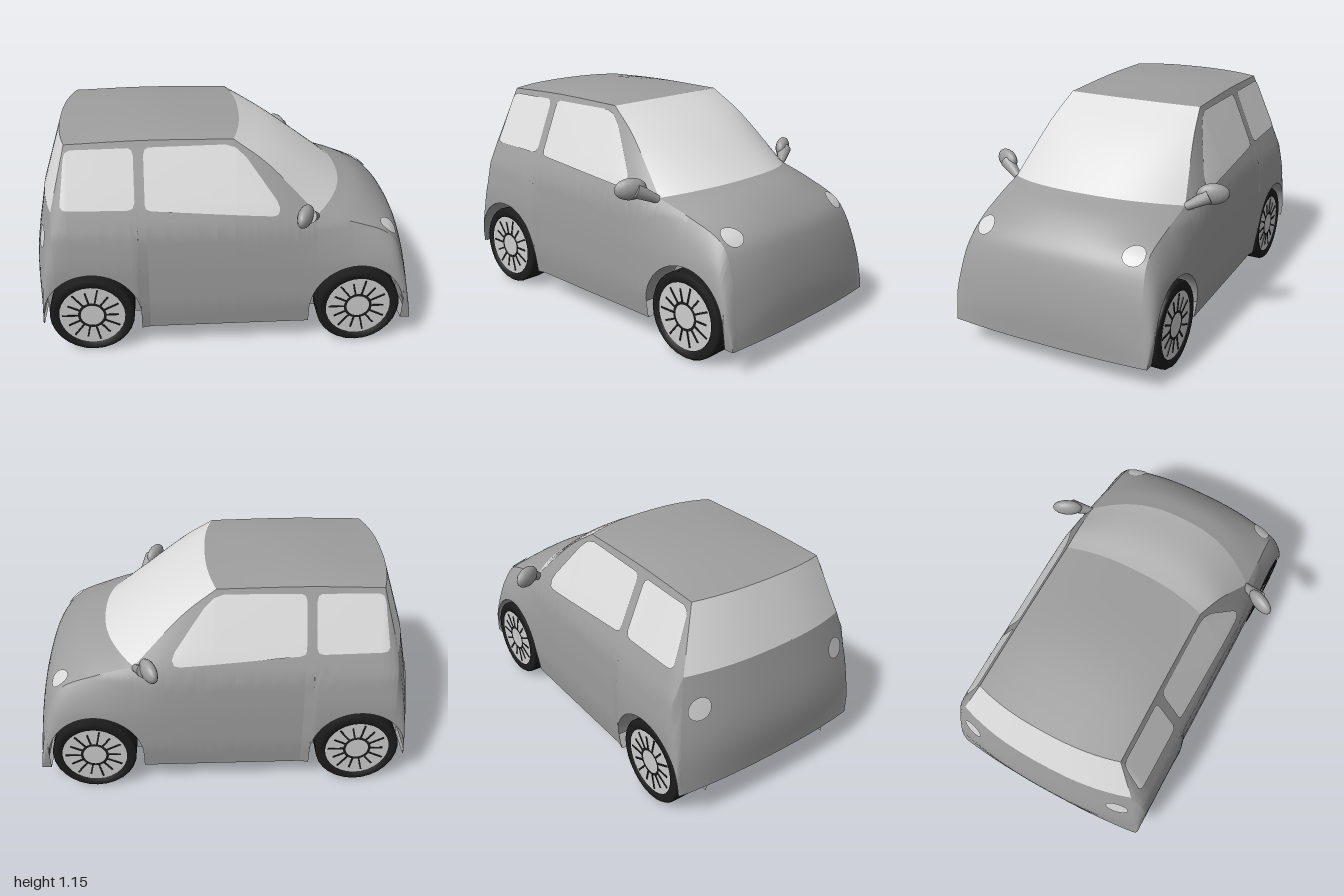
import * as THREE from 'three';

const mat = (name, color, side = THREE.FrontSide) => {
  const m = new THREE.MeshStandardMaterial({ color, side });
  m.name = name;
  return m;
};

// Piecewise linear lookup in a list of [x, y]
function table(pts, x) {
  if (x <= pts[0][0]) return pts[0][1];
  for (let i = 1; i < pts.length; i++) {
    const [x0, y0] = pts[i - 1], [x1, y1] = pts[i];
    if (x <= x1) return y0 + (y1 - y0) * (x - x0) / (x1 - x0 || 1);
  }
  return pts[pts.length - 1][1];
}

// Smooth surface from a grid of points fn(i, j)
function grid(nu, nv, fn, flip = false) {
  const pos = [], idx = [];
  for (let i = 0; i <= nu; i++) for (let j = 0; j <= nv; j++) pos.push(...fn(i, j));
  for (let i = 0; i < nu; i++) for (let j = 0; j < nv; j++) {
    const a = i * (nv + 1) + j, b = a + 1, c = a + nv + 1, d = c + 1;
    if (flip) idx.push(a, c, b, b, c, d);
    else idx.push(a, b, c, b, d, c);
  }
  const g = new THREE.BufferGeometry();
  g.setAttribute('position', new THREE.Float32BufferAttribute(pos, 3));
  g.setIndex(idx);
  g.computeVertexNormals();
  return g;
}

// Panels over the car, rear to front: corner edge [x, y, z] and centre line [x, y]
const PANELS = {
  tailgate: { n: 10, edge: [[-0.955, 0.19, 0.54], [-0.93, 0.46, 0.54], [-0.87, 0.8, 0.485]],
    mid: [[-0.985, 0.19], [-1, 0.46], [-0.94, 0.81]] },
  rearGlass: { n: 6, edge: [[-0.87, 0.8, 0.485], [-0.79, 1.115, 0.385]],
    mid: [[-0.94, 0.81], [-0.84, 1.125]] },
  roof: { n: 10, edge: [[-0.79, 1.115, 0.385], [-0.4, 1.127, 0.382], [0.04, 1.122, 0.38]],
    mid: [[-0.84, 1.125], [-0.38, 1.156], [0.09, 1.134]] },
  windshield: { n: 10, edge: [[0.04, 1.122, 0.38], [0.22, 0.99, 0.42], [0.46, 0.745, 0.487]],
    mid: [[0.09, 1.134], [0.34, 0.99], [0.63, 0.785]] },
  hoodAndNose: { n: 25,
    edge: [[0.46, 0.745, 0.487], [0.65, 0.69, 0.48], [0.84, 0.61, 0.472], [0.92, 0.46, 0.485], [0.965, 0.25, 0.5], [0.98, 0.13, 0.507]],
    mid: [[0.63, 0.785], [0.77, 0.735], [0.9, 0.63], [0.955, 0.52], [0.995, 0.32], [1, 0.13]] },
};
const edgeY = [], edgeZ = [];
for (const p of Object.values(PANELS)) {
  const e = new THREE.CatmullRomCurve3(p.edge.map(v => new THREE.Vector3(...v)), false, 'catmullrom');
  const c = new THREE.CatmullRomCurve3(p.mid.map(v => new THREE.Vector3(v[0], v[1], 0)), false, 'catmullrom');
  p.at = (u, s) => {
    const a = e.getPoint(u), b = c.getPoint(u), w = 1 - Math.abs(s) ** 2.4;
    return new THREE.Vector3(a.x + (b.x - a.x) * w, a.y + (b.y - a.y) * w, a.z * s);
  };
  for (let i = 0; i <= p.n; i++) {
    const a = e.getPoint(i / p.n);
    edgeY.push([a.x, a.y]);
    edgeZ.push([a.x, a.z]);
  }
}

// Body side: half width at any point, with a rear fender bulge
const BASE = [[0.13, 0.535], [0.27, 0.557], [0.5, 0.56], [0.69, 0.553], [0.8, 0.515], [1.12, 0.383]];
const base = (x, y) => table(BASE, y)
  + 0.016 * (1 - THREE.MathUtils.smoothstep(x, -0.47, -0.4)) * (1 - THREE.MathUtils.smoothstep(y, 0.5, 0.75));
function halfWidth(x, y) {
  const top = table(edgeY, x);
  const t = top - 0.13 < 0.002 ? 1 : Math.min(1, (y - 0.13) / (top - 0.13));
  return base(x, y) + (table(edgeZ, x) - base(x, top)) * t ** 4;
}

// Wheel arches
const ARCHES = [{ x: -0.695, y: 0.23, r: 0.25 }, { x: 0.68, y: 0.22, r: 0.248 }];
function sill(x) {
  for (const a of ARCHES) {
    const d = Math.abs(x - a.x);
    if (d <= a.r + 1e-6) return a.y + Math.sqrt(Math.max(0, a.r * a.r - d * d));
  }
  return x < -0.9 ? 0.19 : 0.13;
}
const columns = edgeY.map(p => p[0]);
for (const a of ARCHES) {
  columns.push(a.x - a.r - 2e-4, a.x + a.r + 2e-4);
  for (let k = 0; k <= 24; k++) columns.push(a.x + a.r * Math.cos(k * Math.PI / 24));
}
for (let x = -0.4; x < 0.4; x += 0.05) columns.push(x);
columns.sort((a, b) => a - b);

// Skin that follows the body side between two height lines
function sideSkin(xs, low, high, rows, offset, sign) {
  return grid(xs.length - 1, rows, (i, j) => {
    const x = xs[i], h = high(x), l = Math.min(low(x), h);
    const y = l + (h - l) * j / rows;
    return [x, y, sign * (halfWidth(x, y) + offset)];
  }, sign > 0);
}

// Side windows: rounded outlines as top and bottom lines
const WINDOWS = {
  rearSideWindow: {
    top: [[-0.82, 0.84], [-0.795, 1.05], [-0.785, 1.08], [-0.76, 1.092], [-0.48, 1.095], [-0.462, 1.085], [-0.455, 1.06]],
    low: [[-0.82, 0.835], [-0.808, 0.82], [-0.78, 0.816], [-0.49, 0.812], [-0.465, 0.82], [-0.455, 0.845]] },
  frontSideWindow: {
    top: [[-0.405, 1.06], [-0.398, 1.085], [-0.38, 1.096], [0, 1.1], [0.05, 1.085], [0.1, 1.04], [0.17, 0.945], [0.25, 0.835], [0.264, 0.8]],
    low: [[-0.405, 0.835], [-0.398, 0.815], [-0.375, 0.806], [0.23, 0.763], [0.255, 0.768], [0.264, 0.79]] },
};

// Oval lamp lying on a panel
function lamp(panel, uc, sc, ru, rs) {
  const n = 24;
  return grid(4, n, (i, j) => {
    const a = j / n * Math.PI * 2, r = i / 4;
    const u = uc + ru * r * Math.sin(a), s = sc + rs * r * Math.cos(a), p = panel.at(u, s);
    const nrm = panel.at(u, s + 0.01).sub(p).cross(panel.at(u + 0.01, s).sub(p)).normalize();
    return p.addScaledVector(nrm, 0.006).toArray();
  });
}

export function createModel() {
  const car = new THREE.Group();
  car.name = 'car';
  const paint = mat('bodyPaint', 0x9e9e9e, THREE.DoubleSide);
  const glass = mat('glass', 0xdedede, THREE.DoubleSide);
  const lens = mat('lampLens', 0xd6d6d6, THREE.DoubleSide);
  const rubber = mat('tyreRubber', 0x1c1c1c, THREE.DoubleSide);
  const alloy = mat('wheelAlloy', 0xcccccc);
  const add = (parent, name, geo, m) => {
    const mesh = new THREE.Mesh(geo, m);
    mesh.name = name;
    parent.add(mesh);
    return mesh;
  };

  // Upper panels
  for (const [name, p] of Object.entries(PANELS)) {
    const g = grid(p.n, 24, (i, j) => p.at(i / p.n, j / 12 - 1).toArray());
    add(car, name, g, name === 'rearGlass' || name === 'windshield' ? glass : paint);
  }

  // Floor, notched at the wheels
  const inner = 0.39;
  const floorXs = columns.filter(x => x > -0.95 && x < 0.97);
  const last = floorXs.length + 1;
  add(car, 'floor', grid(last, 24, (i, j) => {
    const s = j / 12 - 1;
    if (i === 0) return PANELS.tailgate.at(0, s).toArray();
    if (i === last) return PANELS.hoodAndNose.at(1, s).toArray();
    const x = floorXs[i - 1], inArch = ARCHES.some(a => Math.abs(x - a.x) <= a.r + 1e-6);
    const y = table([[-0.945, 0.19], [-0.8, 0.135], [-0.6, 0.13]], x);
    return [x, y, s * (inArch ? inner : halfWidth(x, 0.13))];
  }, true), paint);

  for (const sign of [1, -1]) {
    const side = sign > 0 ? 'left' : 'right';
    add(car, side + 'BodySide', sideSkin(columns, sill, x => table(edgeY, x), 16, 0, sign), paint);
    for (const [name, w] of Object.entries(WINDOWS)) {
      const xs = [...w.top, ...w.low].map(p => p[0]);
      const a = Math.min(...xs), b = Math.max(...xs);
      for (let k = 1; k < 16; k++) xs.push(a + (b - a) * k / 16);
      xs.sort((p, q) => p - q);
      add(car, side + name, sideSkin(xs, x => table(w.low, x), x => table(w.top, x), 8, 0.006, sign), glass);
    }
    add(car, side + 'Headlamp', lamp(PANELS.hoodAndNose, 0.39, sign * 0.86, 0.065, 0.11), lens);
    add(car, side + 'TailLamp', lamp(PANELS.tailgate, 0.76, sign * 0.84, 0.08, 0.11), lens);

    // Wheel wells: arch lining and inner wall
    for (const a of ARCHES) {
      const rim = k => [a.x + a.r * Math.cos(k * Math.PI / 24), a.y + a.r * Math.sin(k * Math.PI / 24)];
      add(car, 'archLining', grid(24, 1, (i, j) => {
        const [x, y] = rim(i);
        return [x, y, sign * (j ? inner : halfWidth(x, y))];
      }), paint);
      add(car, 'wellWall', grid(24, 1, (i, j) => {
        const [x, y] = rim(i);
        return [x, j ? y : 0.13, sign * inner];
      }), paint);
    }

    // Mirror: tapered stalk and tilted shell
    const mirror = new THREE.Group();
    mirror.name = side + 'Mirror';
    const from = new THREE.Vector3(0.45, 0.735, sign * 0.485), to = new THREE.Vector3(0.4, 0.79, sign * 0.585);
    const stalk = add(mirror, 'mirrorStalk', new THREE.CylinderGeometry(0.038, 0.02, from.distanceTo(to), 12), paint);
    stalk.position.copy(from).lerp(to, 0.5);
    stalk.quaternion.setFromUnitVectors(new THREE.Vector3(0, 1, 0), to.clone().sub(from).normalize());
    const shell = add(mirror, 'mirrorShell', new THREE.SphereGeometry(1, 16, 12), paint);
    shell.scale.set(0.036, 0.054, 0.082);
    shell.position.set(0.378, 0.796, sign * 0.598);
    shell.rotation.y = -sign * 0.45;
    car.add(mirror);

    // Wheels
    for (const x of [-0.7, 0.69]) {
      const wheel = new THREE.Group();
      wheel.name = side + (x < 0 ? 'RearWheel' : 'FrontWheel');
      const profile = [[0.17, -0.071], [0.21, -0.071], [0.22, -0.058], [0.22, 0.058], [0.21, 0.071], [0.17, 0.071], [0.17, 0.05]];
      add(wheel, 'tyre', new THREE.LatheGeometry(profile.map(p => new THREE.Vector2(...p)), 28), rubber).rotation.x = Math.PI / 2;
      add(wheel, 'rim', new THREE.CylinderGeometry(0.174, 0.174, 0.132, 28), alloy).rotation.x = Math.PI / 2;
      // Dark gaps between spokes, and the dark ring round the hub
      for (let k = 0; k < 14; k++) {
        const a = k / 14 * Math.PI * 2, long = k % 2 ? 0.085 : 0.068;
        const gap = add(wheel, 'spokeGap', new THREE.BoxGeometry(long, 0.009, 0.004), rubber);
        gap.position.set(Math.cos(a) * (0.07 + long / 2), Math.sin(a) * (0.07 + long / 2), 0.067);
        gap.rotation.z = a;
      }
      add(wheel, 'hubRing', new THREE.RingGeometry(0.06, 0.074, 28), rubber).position.z = 0.068;
      wheel.position.set(x, 0.222, sign * 0.482);
      if (sign < 0) wheel.rotation.y = Math.PI;
      car.add(wheel);
    }
  }
  return car;
}
